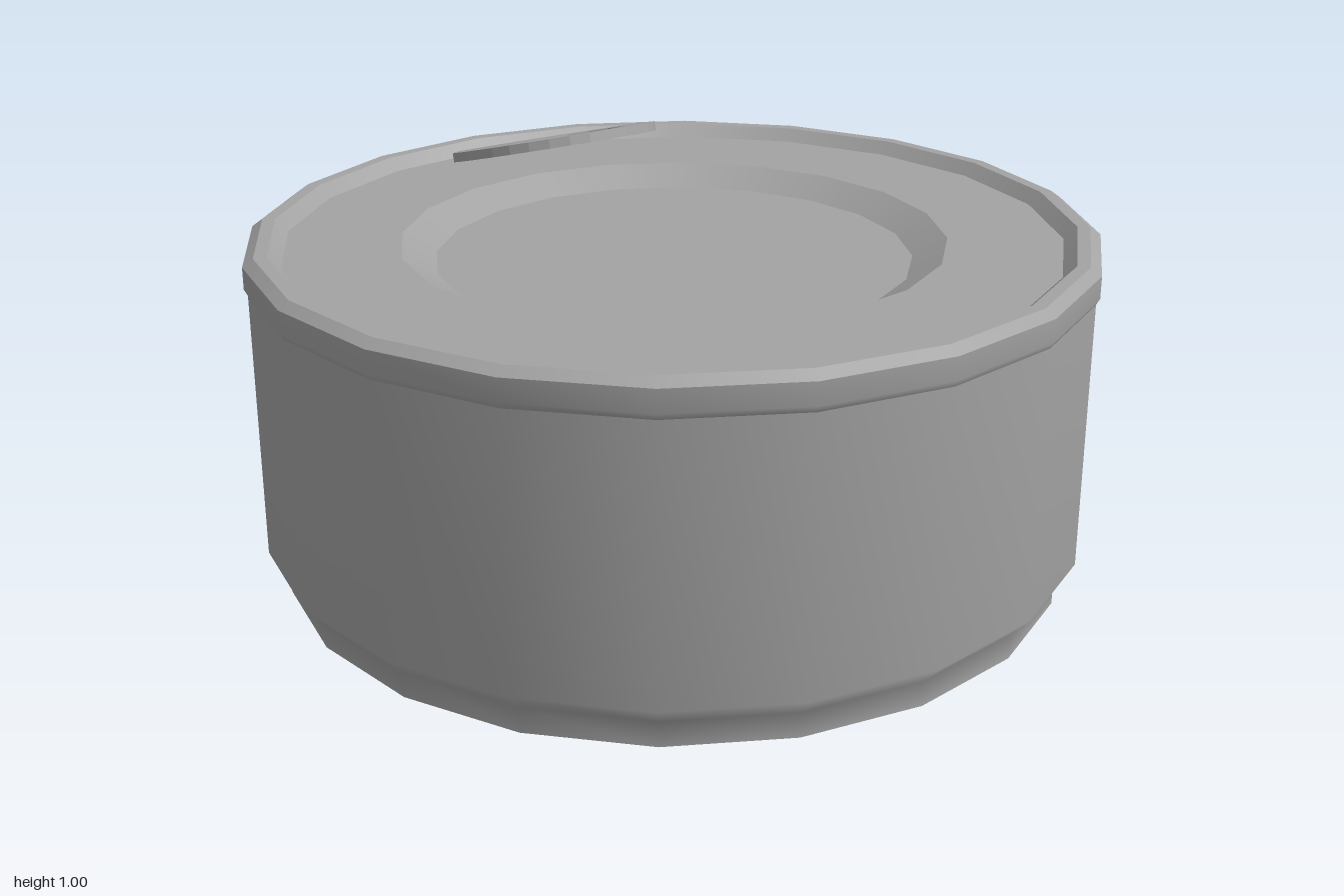
import * as THREE from 'three';

const SIDES = 20;

export function createModel() {
  const model = new THREE.Group();
  const tin = new THREE.MeshStandardMaterial({ color: 0xa3a3a3 });
  tin.name = 'tin grey';

  // Each turned section is smooth inside and has sharp edges to its neighbours.
  const turned = (name, profile) => {
    const points = profile.map(([r, y]) => new THREE.Vector2(r, y));
    const mesh = new THREE.Mesh(new THREE.LatheGeometry(points, SIDES), tin);
    mesh.name = name;
    model.add(mesh);
  };

  turned('base', [[0, 0], [0.945, 0]]);
  turned('wall', [[0.945, 0], [0.945, 0.06], [0.992, 0.11], [0.992, 0.75]]);
  turned('rimBand', [[0.992, 0.75], [1, 0.765], [1, 0.817]]);
  turned('rimBevel', [[1, 0.817], [0.975, 0.835]]);
  turned('rimTop', [[0.975, 0.835], [0.945, 0.835]]);
  turned('rimInside', [[0.945, 0.835], [0.915, 0.805]]);
  turned('lidRing', [[0.915, 0.805], [0.643, 0.805]]);
  turned('lidStep', [[0.643, 0.805], [0.563, 0.76]]);
  turned('lidCentre', [[0.563, 0.76], [0, 0.76]]);

  // Teardrop pull tab with an oval finger hole, raised towards the front
  const neck = [[0.241, 0.27], [0.14, 0.085], [0.08, 0.016]];
  const outline = new THREE.Shape();
  outline.moveTo(0.256, 0.37);
  outline.absellipse(0, 0.37, 0.256, 0.27, 0, Math.PI, false);
  neck.forEach(([x, y]) => outline.lineTo(-x, y));
  outline.lineTo(0, 0);
  [...neck].reverse().forEach(([x, y]) => outline.lineTo(x, y));
  outline.closePath();

  const hole = new THREE.Path();
  hole.absellipse(0, 0.432, 0.16, 0.11, 0, Math.PI * 2, true);
  outline.holes.push(hole);

  const tab = new THREE.Mesh(
    new THREE.ExtrudeGeometry(outline, { depth: 0.023, bevelEnabled: false, curveSegments: 8 }),
    tin
  );
  tab.name = 'pullTab';
  tab.rotation.x = Math.PI / 2 - 0.281;
  tab.position.set(0, 0.822, -0.9);
  model.add(tab);

  return model;
}
